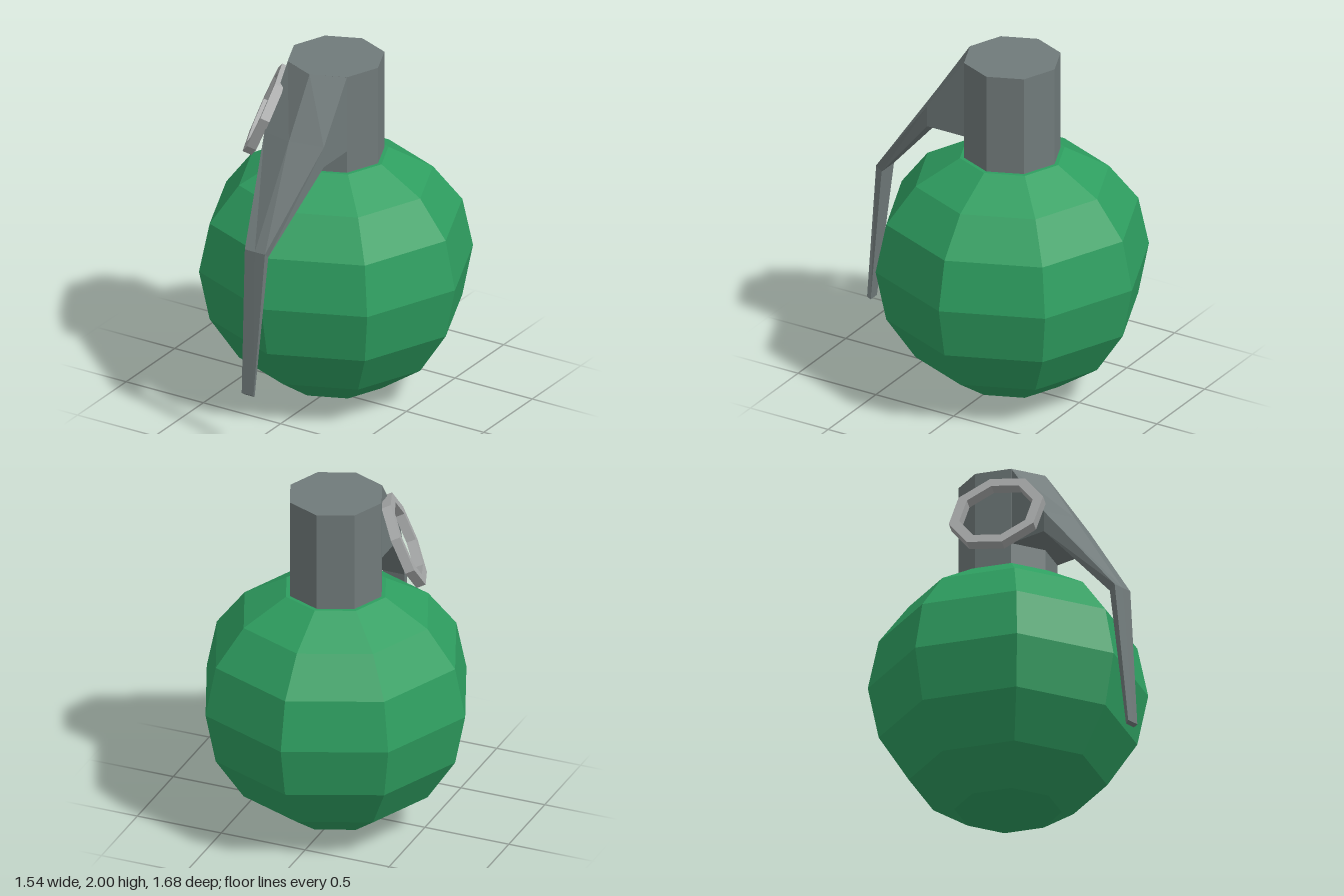
import * as THREE from 'three';

const AXIS_Z = -0.07;

function material(color) {
  return new THREE.MeshStandardMaterial({ color, flatShading: true });
}

function addMesh(parent, name, geometry, mat) {
  const mesh = new THREE.Mesh(geometry, mat);
  mesh.name = name;
  parent.add(mesh);
  return mesh;
}

// Eight-sided turned shape from [radius, height] pairs
function turned(profile) {
  const points = profile.map(([r, y]) => new THREE.Vector2(r, y));
  return new THREE.LatheGeometry(points, 8).toNonIndexed();
}

// Skin over cross-sections, with the last one closed
function loft(sections) {
  const pos = [];
  const tri = (...corners) => corners.forEach((p) => pos.push(...p));
  const n = sections[0].length;
  for (let i = 0; i < sections.length - 1; i++) {
    for (let j = 0; j < n; j++) {
      const k = (j + 1) % n;
      const a = sections[i][j], b = sections[i][k];
      const c = sections[i + 1][k], d = sections[i + 1][j];
      tri(a, d, c);
      tri(a, c, b);
    }
  }
  const end = sections[sections.length - 1];
  for (let j = 1; j < n - 1; j++) tri(end[0], end[j + 1], end[j]);
  const geometry = new THREE.BufferGeometry();
  geometry.setAttribute('position', new THREE.Float32BufferAttribute(pos, 3));
  geometry.computeVertexNormals();
  return geometry;
}

// Lever section: side edges, centre ridge and underside, each [y, z]
function leverSection(width, edge, ridge, under, underWidth = width) {
  return [
    [-width, ...edge], [0, ...ridge], [width, ...edge],
    [underWidth, ...under], [-underWidth, ...under],
  ];
}

export function createModel() {
  const group = new THREE.Group();
  const green = material(0x2e9e60);
  const darkMetal = material(0x707a7a);
  const lightMetal = material(0xa8aaaa);

  // Faceted round body, flat on top
  const body = addMesh(group, 'body', turned([
    [0, 0], [0.295, 0.06], [0.545, 0.23], [0.71, 0.48], [0.77, 0.775],
    [0.71, 1.06], [0.545, 1.275], [0.295, 1.42], [0, 1.42],
  ]), green);
  body.position.z = AXIS_Z;

  // Octagonal neck
  const neck = addMesh(group, 'neck', turned([
    [0, 1.4], [0.272, 1.4], [0.272, 2], [0, 2],
  ]), darkMetal);
  neck.position.z = AXIS_Z;

  // Lever sloping off the neck, then bending down past the body
  addMesh(group, 'lever', loft([
    leverSection(0.192, [2, 0.122], [2, 0.202], [1.55, 0.122]),
    leverSection(0.192, [1.67, 0.36], [1.68, 0.415], [1.55, 0.36]),
    leverSection(0.065, [1.15, 0.765], [1.15, 0.766], [1.12, 0.73]),
    leverSection(0.038, [0.315, 0.84], [0.315, 0.84], [0.3, 0.82], 0.033),
  ]), darkMetal);

  // Tilted pull ring of square section
  const ring = addMesh(group, 'pullRing', turned([
    [0.21, -0.027], [0.27, -0.027], [0.27, 0.027], [0.21, 0.027], [0.21, -0.027],
  ]), lightMetal);
  const normal = new THREE.Vector3(-0.83, 0.38, 0.38).normalize();
  const side = new THREE.Vector3().crossVectors(normal, new THREE.Vector3(0.05, -0.14, 0.25)).normalize();
  const front = new THREE.Vector3().crossVectors(side, normal);
  ring.quaternion.setFromRotationMatrix(new THREE.Matrix4().makeBasis(side, normal, front));
  ring.position.set(-0.32, 1.68, 0.133);

  return group;
}
